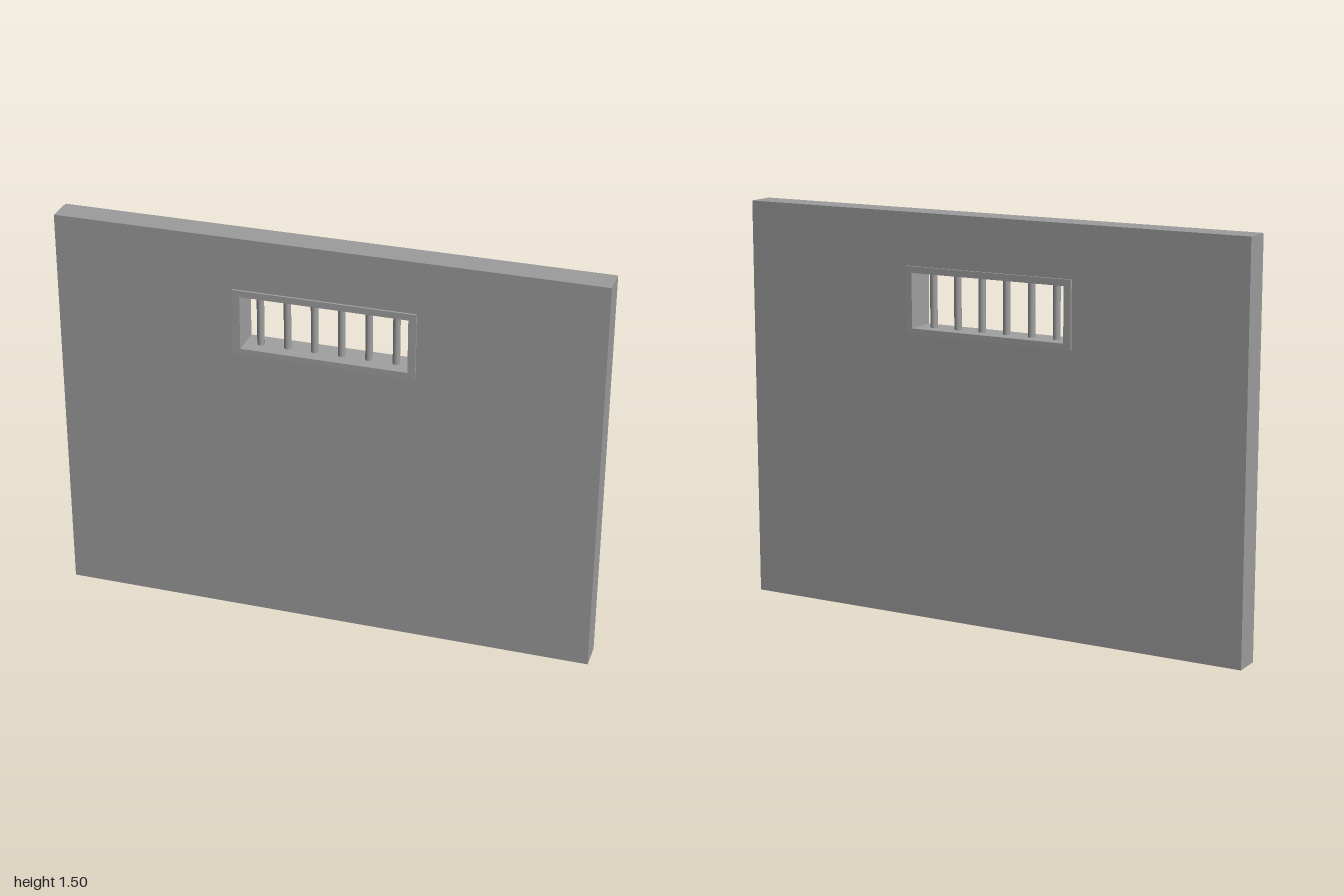
import * as THREE from 'three';

const wallMaterial = new THREE.MeshStandardMaterial({ color: 0x9c9c9c });
const metalMaterial = new THREE.MeshStandardMaterial({ color: 0xa0a0a0 });

// Corners of an upright rectangle, counter-clockwise
function rectangle(x0, y0, x1, y1) {
  return [[x0, y0], [x1, y0], [x1, y1], [x0, y1]].map(([x, y]) => new THREE.Vector2(x, y));
}

// Rectangular slab with a rectangular hole, centred on z = 0
function piercedSlab(name, outer, hole, depth, material) {
  const shape = new THREE.Shape(rectangle(...outer));
  shape.holes.push(new THREE.Path(rectangle(...hole)));
  const geometry = new THREE.ExtrudeGeometry(shape, { depth, bevelEnabled: false });
  geometry.translate(0, 0, -depth / 2);
  const mesh = new THREE.Mesh(geometry, material);
  mesh.name = name;
  return mesh;
}

export function createModel() {
  const model = new THREE.Group();
  model.name = 'barredWindowWall';

  const frameOuter = [-0.335, 1.057, 0.335, 1.306];
  const frameInner = [-0.307, 1.08, 0.307, 1.282];

  // Wall, and the window frame standing slightly proud on both faces
  model.add(piercedSlab('wall', [-1, 0, 1, 1.5], frameOuter, 0.104, wallMaterial));
  model.add(piercedSlab('windowFrame', frameOuter, frameInner, 0.12, metalMaterial));

  // Six upright round bars in the middle of the opening
  const bars = new THREE.Group();
  bars.name = 'windowBars';
  const barGeometry = new THREE.CylinderGeometry(0.0135, 0.0135, 0.21, 12);
  for (let i = 0; i < 6; i++) {
    const bar = new THREE.Mesh(barGeometry, metalMaterial);
    bar.name = 'bar' + (i + 1);
    bar.position.set(-0.25 + i * 0.1, 1.181, 0);
    bars.add(bar);
  }
  model.add(bars);

  return model;
}
